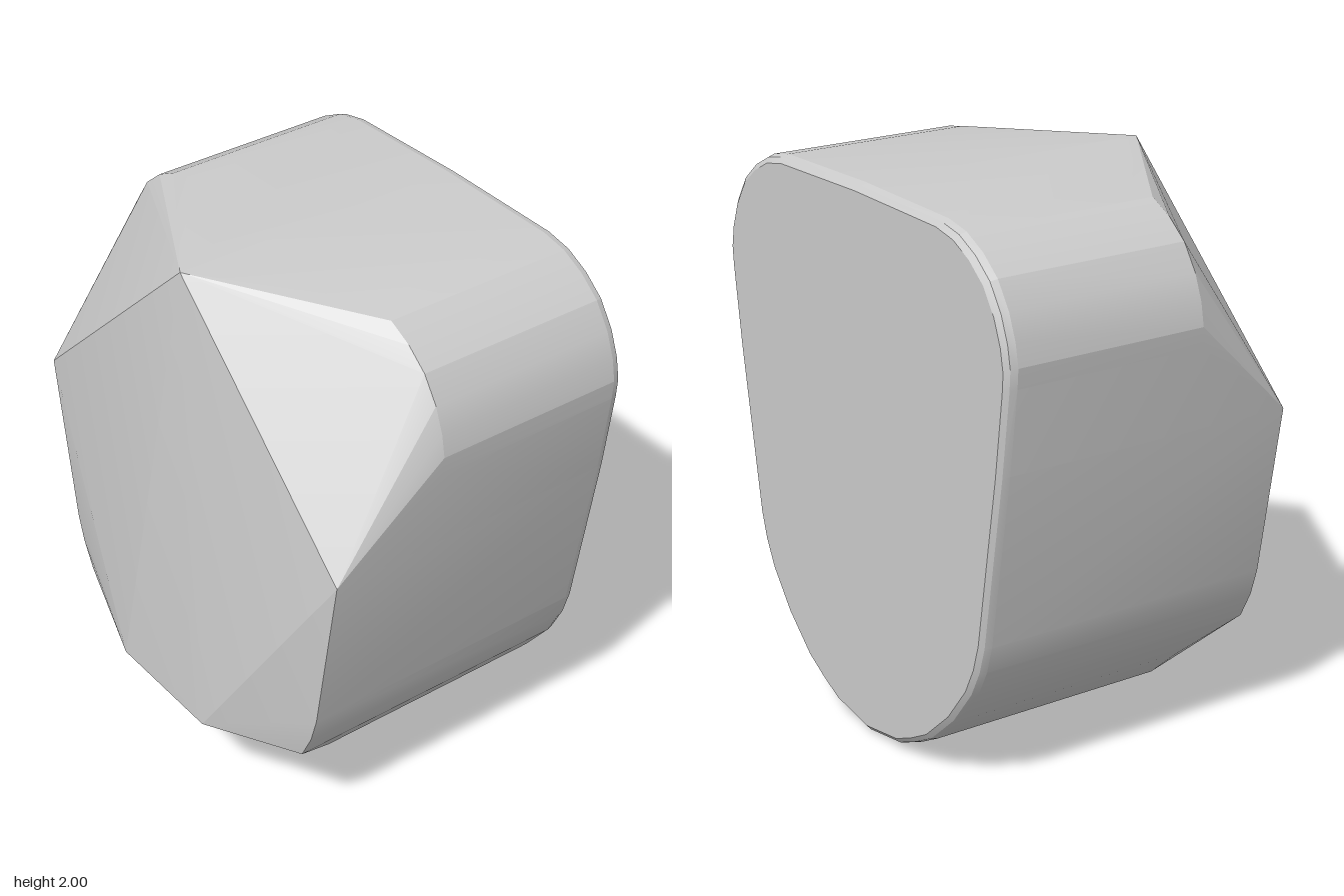
import * as THREE from 'three';
import { ConvexGeometry } from 'three/addons/geometries/ConvexGeometry.js';
import { toCreasedNormals } from 'three/addons/utils/BufferGeometryUtils.js';

// Half outline from top centre to bottom centre: x, y, and how far forward the side wall reaches
const OUTLINE = [
  [0, 2.0, 0.5],
  [0.5, 1.99, 0.1], [0.6, 1.97, 0.11], [0.69, 1.925, 0.11], [0.77, 1.86, 0.11],
  [0.83, 1.77, 0.11], [0.865, 1.68, 0.11], [0.88, 1.6, 0.11], [0.875, 1.53, 0.11],
  [0.835, 1.23, 0.5], [0.73, 0.6, 0.5], [0.7, 0.5, 0.5], [0.65, 0.4, 0.5],
  [0.54, 0.26, 0.3], [0.4, 0.135, 0.3], [0.3, 0.08, 0.3], [0.2, 0.035, 0.3],
  [0, 0.003, 0.3],
];

// Raised points at the bottom of the front face
const CHIN = [[-0.24, 0.33, 0.63], [0.2, 0.39, 0.65], [0.27, 0.35, 0.65]];

// Rounded rim around the flat back: inset and depth
const RIM = [[0, -0.615], [0.007, -0.64], [0.025, -0.655]];

export function createModel() {
  const group = new THREE.Group();
  group.name = 'facetedBlock';

  const points = CHIN.map((p) => new THREE.Vector3(...p));
  for (const [x, y, front] of OUTLINE) {
    for (const side of x ? [1, -1] : [1]) {
      points.push(new THREE.Vector3(side * x, y, front));
      for (const [inset, z] of RIM) {
        points.push(new THREE.Vector3(side * x * (1 - inset / 0.88), 1 + (y - 1) * (1 - inset), z));
      }
    }
  }

  // Faceted body with a softly rounded back rim
  const geometry = toCreasedNormals(new ConvexGeometry(points), 0.25);
  const body = new THREE.Mesh(geometry, new THREE.MeshStandardMaterial({ color: 0xcccccc }));
  body.name = 'body';
  group.add(body);
  return group;
}
